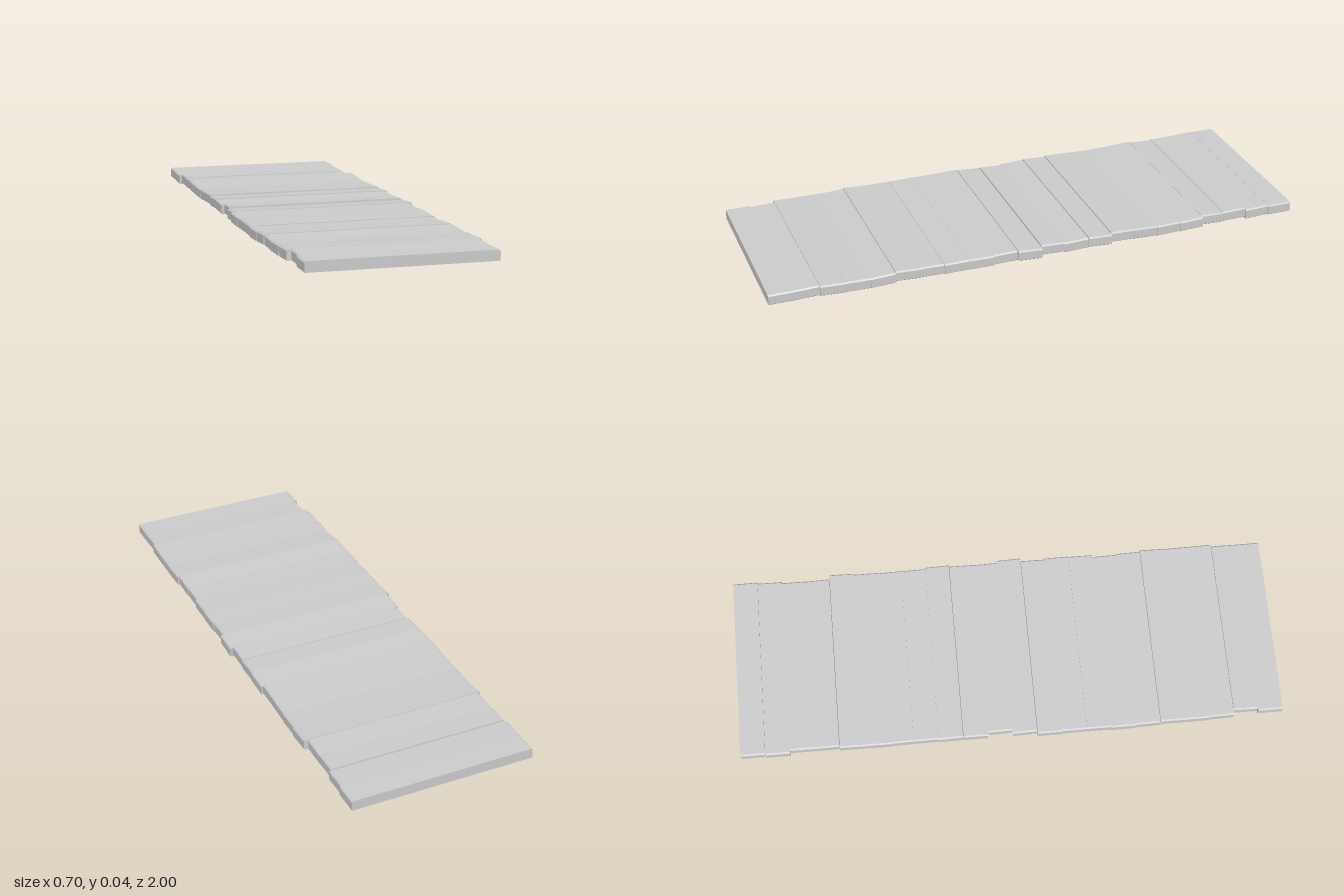
import * as THREE from 'three';

const COUNT = 22;
const PITCH = 2 / COUNT;
const THICK = 0.038;
const CHAMFER = 0.005;

// One row per plank from back to front: left edge x, right edge x, top y at back, top y at front
const PLANKS = [
  [-0.343, 0.338, 0.047, 0.047], [-0.346, 0.333, 0.047, 0.044],
  [-0.337, 0.326, 0.049, 0.047], [-0.337, 0.326, 0.045, 0.049],
  [-0.343, 0.342, 0.050, 0.046], [-0.343, 0.338, 0.046, 0.044],
  [-0.342, 0.336, 0.044, 0.048], [-0.342, 0.335, 0.048, 0.051],
  [-0.343, 0.342, 0.046, 0.051], [-0.343, 0.338, 0.048, 0.045],
  [-0.332, 0.336, 0.047, 0.051], [-0.343, 0.347, 0.044, 0.050],
  [-0.352, 0.336, 0.048, 0.046], [-0.350, 0.340, 0.046, 0.047],
  [-0.350, 0.338, 0.047, 0.046], [-0.352, 0.331, 0.044, 0.046],
  [-0.350, 0.334, 0.046, 0.051], [-0.346, 0.340, 0.049, 0.045],
  [-0.346, 0.339, 0.045, 0.047], [-0.344, 0.339, 0.046, 0.050],
  [-0.327, 0.332, 0.050, 0.047], [-0.336, 0.332, 0.047, 0.047],
];

// Plank cross-section with chamfered upper edges, drawn out along z
function plankGeometry(width, length) {
  const w = width / 2, h = THICK / 2, c = CHAMFER;
  const section = new THREE.Shape([
    [-w + c / 2, -h], [w - c / 2, -h], [w, -h + c / 2], [w, h - c],
    [w - c, h], [-w + c, h], [-w, h - c], [-w, -h + c / 2],
  ].map(([x, y]) => new THREE.Vector2(x, y)));
  const geometry = new THREE.ExtrudeGeometry(section, { depth: length, bevelEnabled: false });
  return geometry.translate(0, 0, -length / 2);
}

export function createModel() {
  const group = new THREE.Group();
  group.name = 'plankWalkway';
  const material = new THREE.MeshStandardMaterial({ color: 0xcccccc });

  // Planks laid side by side, each with its own width, offset and tilt
  PLANKS.forEach(([left, right, backY, frontY], i) => {
    const length = Math.hypot(PITCH, frontY - backY);
    const plank = new THREE.Mesh(plankGeometry(right - left, length), material);
    plank.name = `plank${i + 1}`;
    plank.position.set((left + right) / 2, (backY + frontY) / 2 - THICK / 2, -1 + (i + 0.5) * PITCH);
    plank.rotation.x = -Math.atan2(frontY - backY, PITCH);
    group.add(plank);
  });

  // Stand the lowest plank on the ground
  const bounds = new THREE.Box3().setFromObject(group, true);
  group.children.forEach((plank) => { plank.position.y -= bounds.min.y; });
  return group;
}
